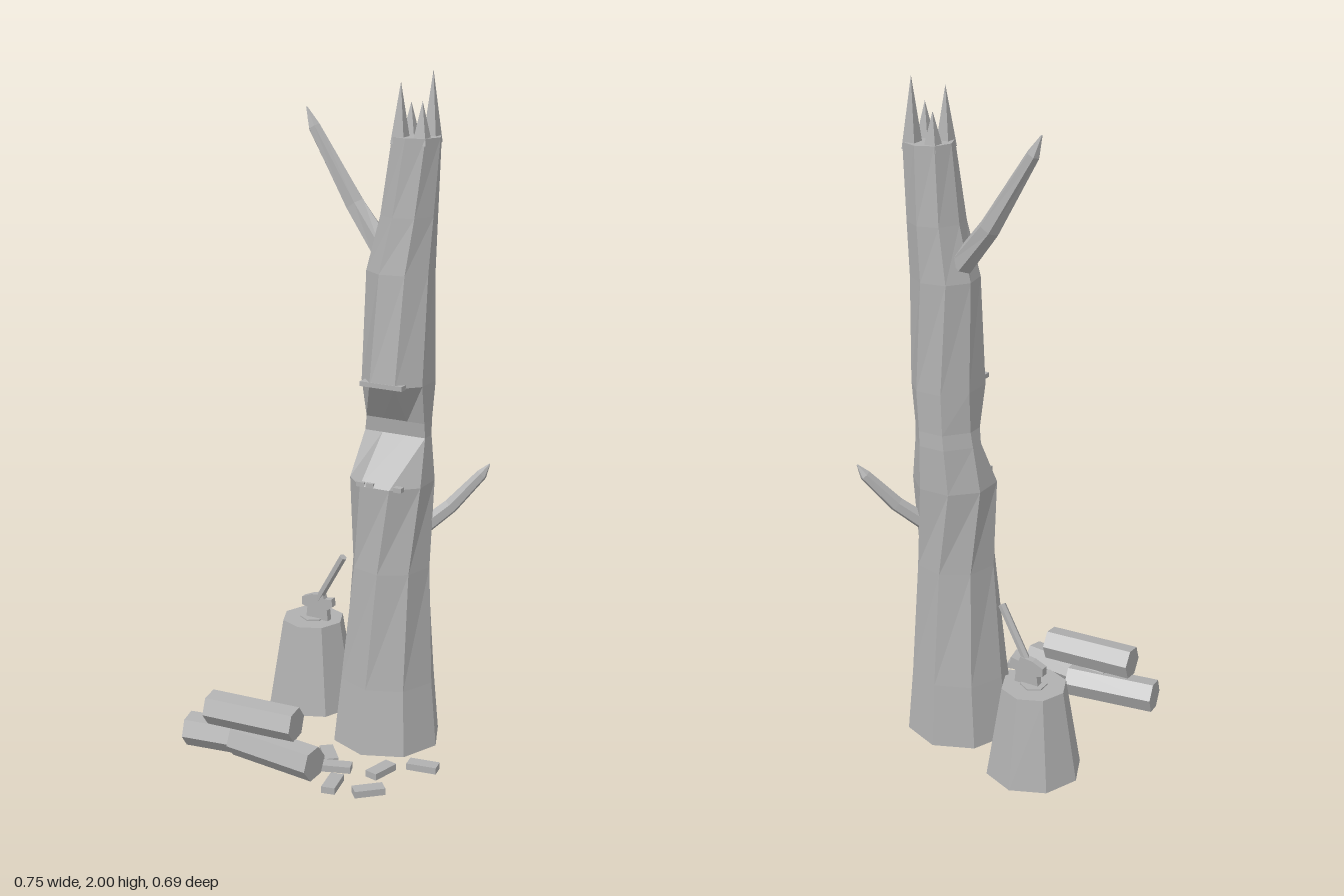
import * as THREE from 'three';

const V = (x, y, z) => new THREE.Vector3(x, y, z);

// Closed ring of n points around c, in the plane of u and v
function ring(c, u, v, ru, rv, n, twist = 0) {
  return Array.from({ length: n }, (_, i) => {
    const a = twist + (i / n) * Math.PI * 2;
    return c.clone().addScaledVector(u, ru * Math.sin(a)).addScaledVector(v, rv * Math.cos(a));
  });
}

// Faceted skin through a list of rings, capped at both ends
function loft(rings) {
  const pos = [], n = rings[0].length;
  const tri = (...pts) => pts.forEach(p => pos.push(p.x, p.y, p.z));
  const mid = r => r.reduce((s, p) => s.add(p), V(0, 0, 0)).divideScalar(n);
  const first = rings[0], last = rings[rings.length - 1];
  const c0 = mid(first), c1 = mid(last);
  for (let i = 0; i < n; i++) {
    const j = (i + 1) % n;
    for (let k = 0; k < rings.length - 1; k++) {
      const a = rings[k], b = rings[k + 1];
      tri(a[i], a[j], b[j]);
      tri(a[i], b[j], b[i]);
    }
    tri(c0, first[j], first[i]);
    tri(c1, last[i], last[j]);
  }
  const g = new THREE.BufferGeometry();
  g.setAttribute('position', new THREE.Float32BufferAttribute(pos, 3));
  g.computeVertexNormals();
  return g;
}

// Faceted limb along a path of [x, y, z, radius]
function limb(path, n, twist = 0) {
  const pts = path.map(p => V(p[0], p[1], p[2]));
  return loft(pts.map((p, i) => {
    const w = pts[Math.min(i + 1, pts.length - 1)].clone().sub(pts[Math.max(i - 1, 0)]).normalize();
    const ref = Math.abs(w.y) > 0.95 ? V(0, 0, 1) : V(0, 1, 0);
    const u = ref.cross(w).normalize();
    return ring(p, u, u.clone().cross(w), path[i][3], path[i][3], n, twist);
  }));
}

export function createModel() {
  const model = new THREE.Group();
  model.name = 'deadTreeWithLogs';
  const wood = new THREE.MeshStandardMaterial({ color: 0xb0b0b0, flatShading: true });
  wood.name = 'plain grey';
  const add = (name, geo, x = 0, y = 0, z = 0, parent = model) => {
    const m = new THREE.Mesh(geo, wood);
    m.name = name;
    m.position.set(x, y, z);
    parent.add(m);
    return m;
  };

  // Trunk: y, centre x, centre z, radius x, radius z, twist, front cut
  const X = V(1, 0, 0), Z = V(0, 0, 1);
  add('trunk', loft([
    [0, 0.12, -0.09, 0.167, 0.165, 0],
    [0.2, 0.12, -0.095, 0.147, 0.145, 0],
    [0.56, 0.128, -0.095, 0.12, 0.122, 0.13],
    [0.82, 0.127, -0.1, 0.125, 0.122, 0.39],
    [0.955, 0.132, -0.1, 0.106, 0.123, 0.39, -0.105],
    [1.0, 0.136, -0.102, 0.102, 0.118, 0.39, -0.098],
    [1.12, 0.142, -0.105, 0.106, 0.113, 0.39],
    [1.44, 0.142, -0.113, 0.1, 0.095, 0.55],
    [1.6, 0.163, -0.12, 0.082, 0.085, 0.65],
    [1.82, 0.182, -0.124, 0.073, 0.073, 0.785],
  ].map(([y, cx, cz, rx, rz, t, cut = 1]) => {
    const r = ring(V(cx, y, cz), X, Z, rx, rz, 8, t);
    r.forEach(p => { p.z = Math.min(p.z, cut); });
    return r;
  })));

  // Splinters along the edges of the notch
  add('upperNotchLip', new THREE.BoxGeometry(0.135, 0.014, 0.045), 0.138, 1.123, -0.022);
  for (const x of [0.08, 0.11, 0.2]) {
    add('notchSplinter', new THREE.BoxGeometry(0.025, 0.014, 0.02), x, 0.825, 0.003);
  }

  // Splintered crown
  for (const [x, z, top] of [[0.215, -0.155, 2], [0.148, -0.09, 1.97], [0.215, -0.09, 1.92], [0.148, -0.155, 1.91]]) {
    const h = top - 1.8;
    const spike = new THREE.ConeGeometry(0.03, h, 4);
    spike.rotateY(Math.PI / 4);
    add('crownSpike', spike, x, 1.8 + h / 2, z);
  }

  // Bare branches
  add('upperBranch', limb([
    [0.075, 1.49, -0.13, 0.036], [-0.025, 1.61, -0.147, 0.031],
    [-0.155, 1.825, -0.14, 0.019], [-0.18, 1.88, -0.14, 0.002]], 6));
  add('lowerBranch', limb([
    [0.21, 0.67, -0.13, 0.026], [0.28, 0.735, -0.18, 0.023],
    [0.355, 0.83, -0.23, 0.017], [0.375, 0.862, -0.24, 0.002]], 6));

  // Chopping stump
  add('stump', new THREE.CylinderGeometry(0.097, 0.143, 0.28, 8), -0.2, 0.14, -0.2);
  add('stumpHeart', new THREE.CylinderGeometry(0.04, 0.04, 0.006, 6), -0.2, 0.281, -0.2);

  // Axe stuck in the stump
  const axe = new THREE.Group();
  axe.name = 'axe';
  model.add(axe);
  const blade = new THREE.Shape([[-0.22, 0.27], [-0.14, 0.27], [-0.145, 0.315], [-0.125, 0.33],
    [-0.128, 0.355], [-0.155, 0.35], [-0.16, 0.365], [-0.2, 0.36], [-0.235, 0.345], [-0.235, 0.32],
    [-0.215, 0.315]].map(p => new THREE.Vector2(...p)));
  add('axeHead', new THREE.ExtrudeGeometry(blade, { depth: 0.022, bevelEnabled: false }), 0, 0, -0.211, axe);
  add('axeHandle', limb([[-0.185, 0.335, -0.2, 0.012], [-0.086, 0.505, -0.189, 0.012]], 6), 0, 0, 0, axe);

  // Log pile: both ends of each log
  for (const [x0, y0, z0, x1, y1, z1] of [
    [-0.285, 0.145, 0.267, 0, 0.145, 0.25],
    [-0.368, 0.054, 0.262, -0.09, 0.054, 0.222],
    [-0.205, 0.054, 0.25, 0.08, 0.054, 0.285]]) {
    add('log', limb([[x0, y0, z0, 0.051], [x1, y1, z1, 0.051]], 6, Math.PI / 2 + 0.14));
  }

  // Wood chips: position and long direction on the ground
  for (const [x, z, dx, dz] of [
    [0.05, 0.145, 0.055, 0.065], [0.105, 0.2, 0.09, -0.03], [0.23, 0.157, -0.022, 0.09],
    [0.326, 0.075, 0.09, -0.014], [0.147, 0.297, 0.018, 0.09], [0.256, 0.283, 0.065, -0.06]]) {
    add('woodChip', new THREE.BoxGeometry(0.09, 0.02, 0.04), x, 0.015, z).rotation.y = Math.atan2(-dz, dx);
  }

  return model;
}
